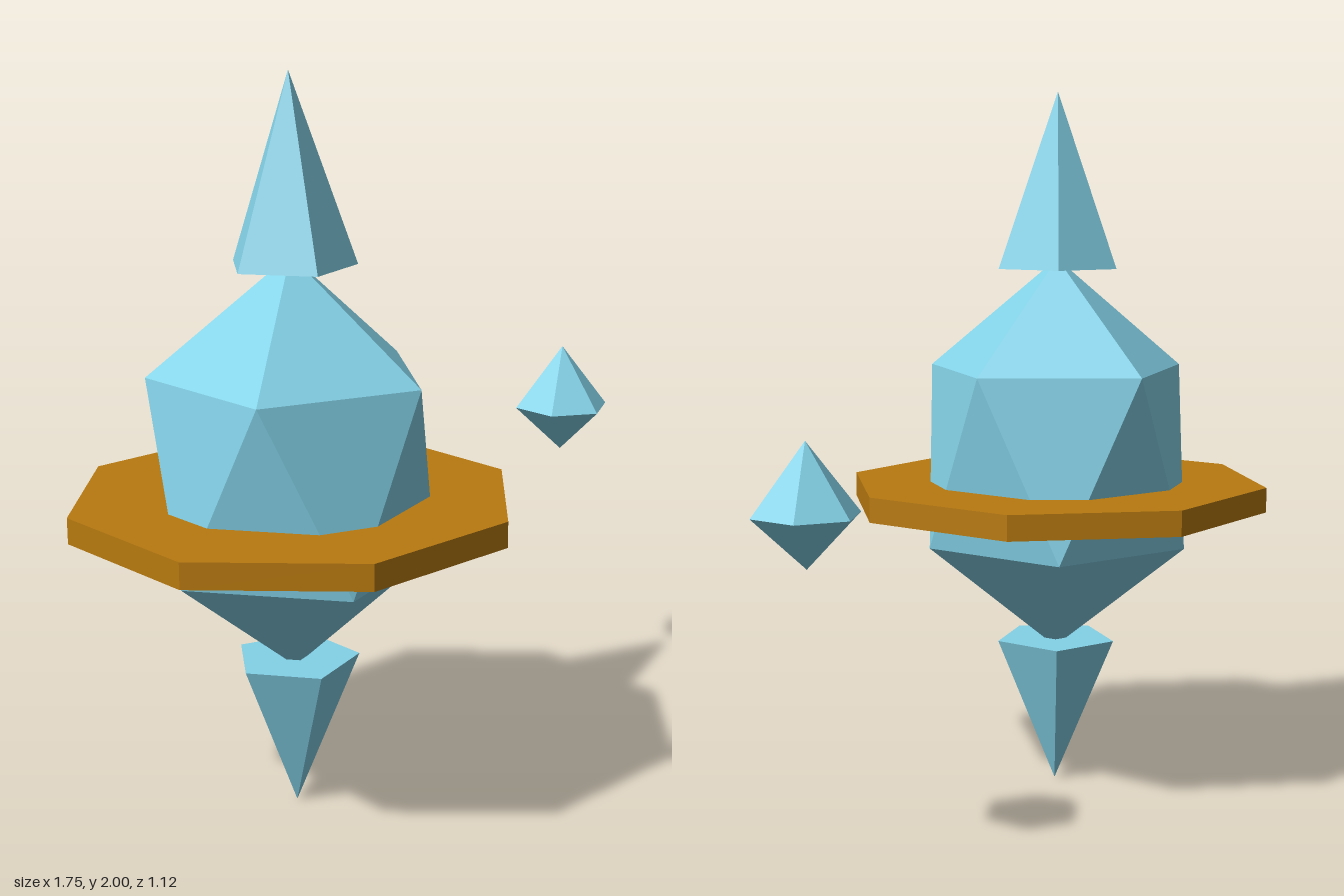
import * as THREE from 'three';

export function createModel() {
  const model = new THREE.Group();
  const crystal = new THREE.MeshStandardMaterial({ color: 0x86d6ec, flatShading: true });
  crystal.name = 'pale blue crystal';
  const bronze = new THREE.MeshStandardMaterial({ color: 0xb87a10, flatShading: true });
  bronze.name = 'bronze';

  const add = (name, geometry, material, x, y) => {
    const mesh = new THREE.Mesh(geometry, material);
    mesh.name = name;
    mesh.position.set(x, y, 0);
    model.add(mesh);
    return mesh;
  };
  const axis = -0.32; // x of the main crystal's vertical axis

  // Core: icosahedron stood on a corner and stretched upwards
  const core = new THREE.IcosahedronGeometry(0.425, 0);
  core.rotateZ(-Math.atan(2 / (1 + Math.sqrt(5))));
  core.scale(1, 1.33, 1);
  add('core', core, crystal, axis, 0.968);

  // Five-sided spikes above and below, each with a corner towards -x
  const topHeight = 0.495, bottomHeight = 0.425;
  add('topSpike', new THREE.CylinderGeometry(0, 0.175, topHeight, 5, 1, false, -Math.PI / 2),
    crystal, axis, 2 - topHeight / 2);
  add('bottomSpike', new THREE.CylinderGeometry(0.175, 0, bottomHeight, 5, 1, false, -Math.PI / 2),
    crystal, axis, 0.005 + bottomHeight / 2);

  // Octagonal plate around the core, flat sides facing the axes
  add('plate', new THREE.CylinderGeometry(0.606, 0.606, 0.07, 8, 1, false, Math.PI / 8),
    bronze, axis, 0.86);

  // Small floating shard: two six-sided pyramids joined at the waist
  const waist = 0.943, upper = 0.183, lower = 0.135, radius = 0.142;
  add('shardTop', new THREE.CylinderGeometry(0, radius, upper, 6, 1, true), crystal, 0.752, waist + upper / 2);
  add('shardBottom', new THREE.CylinderGeometry(radius, 0, lower, 6, 1, true), crystal, 0.752, waist - lower / 2);

  return model;
}
